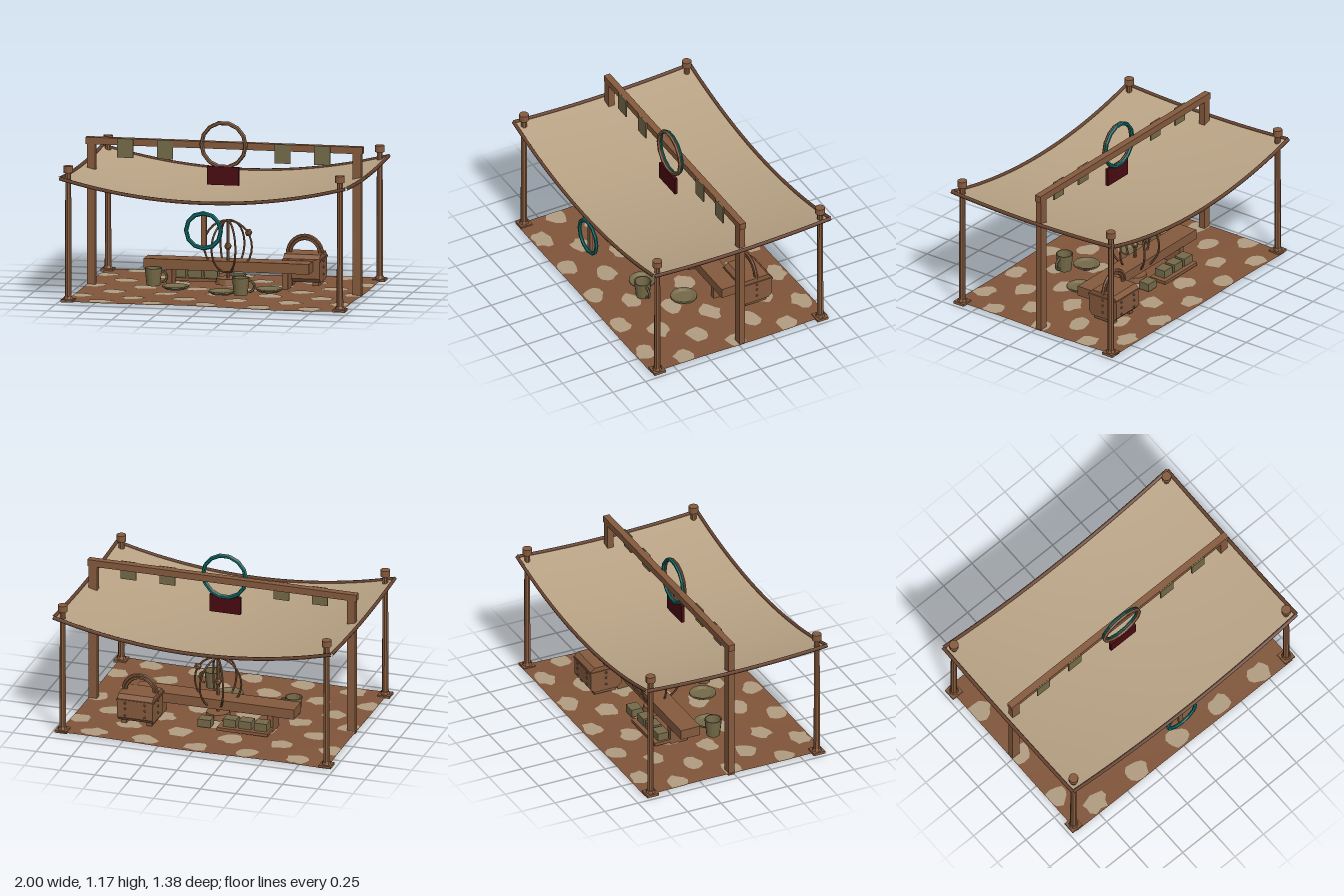
import * as THREE from 'three';
import { mergeGeometries } from 'three/addons/utils/BufferGeometryUtils.js';

const mat = (name, color, extra = {}) => {
  const m = new THREE.MeshStandardMaterial({ color, ...extra });
  m.name = name;
  return m;
};

export function createModel() {
  const wood = mat('wood', 0x855a3d, { flatShading: true });
  const rugBrown = mat('rugBrown', 0x80553a, { side: THREE.DoubleSide });
  const trimBrown = mat('trimBrown', 0x684430);
  const cloth = mat('cloth', 0xb9a385, { side: THREE.DoubleSide });
  const spotTan = mat('spotTan', 0xb09c80, { side: THREE.DoubleSide });
  const olive = mat('olive', 0x756a49, { flatShading: true });
  const teal = mat('teal', 0x0b6a68, { flatShading: true });
  const red = mat('darkRed', 0x480a10);

  const root = new THREE.Group();
  root.name = 'marketStall';

  const add = (name, geo, material, x = 0, y = 0, z = 0, parent = root) => {
    const m = new THREE.Mesh(geo, material);
    m.name = name;
    m.position.set(x, y, z);
    parent.add(m);
    return m;
  };
  const group = (name, x = 0, y = 0, z = 0) => {
    const g = new THREE.Group();
    g.name = name;
    g.position.set(x, y, z);
    root.add(g);
    return g;
  };
  const box = (w, h, d) => new THREE.BoxGeometry(w, h, d);
  const cyl = (rt, rb, h, n = 8) => new THREE.CylinderGeometry(rt, rb, h, n);

  // Small seeded generator for the blotches
  let seed = 11;
  const rand = () => (seed = (seed * 16807) % 2147483647) / 2147483647;

  // Lay a flat xz geometry over a height rule
  const drape = (geo, rule, lift = 0) => {
    const p = geo.attributes.position;
    for (let i = 0; i < p.count; i++) p.setY(i, rule(p.getX(i), p.getZ(i)) + lift);
    geo.computeVertexNormals();
    return geo;
  };

  // Sagging canopy with a rope hem
  const sag = (x, z) => 0.695 + 0.135 * x * x + 0.025 * (z / 0.685) ** 2;
  const canopy = new THREE.PlaneGeometry(1.98, 1.36, 40, 24).rotateX(-Math.PI / 2);
  add('canopy', drape(canopy, sag), cloth);
  const edge = (x0, z0, x1, z1) => {
    const pts = [];
    for (let i = 0; i <= 12; i++) {
      const x = x0 + (x1 - x0) * i / 12, z = z0 + (z1 - z0) * i / 12;
      pts.push(new THREE.Vector3(x, sag(x, z), z));
    }
    return new THREE.TubeGeometry(new THREE.CatmullRomCurve3(pts), 32, 0.013, 6);
  };
  const ex = 0.987, ez = 0.677;
  add('canopyHem', mergeGeometries([
    edge(-ex, ez, ex, ez), edge(-ex, -ez, ex, -ez), edge(-ex, -ez, -ex, ez), edge(ex, -ez, ex, ez),
  ]), trimBrown);

  // Gently rippled rug
  const ripple = (x, z) => 0.011 + 0.004 * Math.sin(x * 5 + z * 3) + 0.003 * Math.cos(z * 6 - x * 2);
  const rug = new THREE.PlaneGeometry(1.9, 1.35, 48, 36).rotateX(-Math.PI / 2);
  add('rug', drape(rug, ripple), rugBrown);

  // Staggered blotches, shown on both faces of the rug
  const spots = [];
  for (let row = 0; row < 7; row++) {
    for (let k = 0; k < 6; k++) {
      const cx = -0.9 + k * 0.36 + (row % 2 ? 0 : 0.18), cz = -0.6 + row * 0.2;
      if (cx > 0.95) continue;
      const spot = new THREE.CircleGeometry(1, 12).rotateX(-Math.PI / 2);
      const p = spot.attributes.position;
      const radii = Array.from({ length: 12 }, () => 0.8 + 0.4 * rand());
      for (let i = 0; i < p.count; i++) {
        const s = i === 0 ? 0 : radii[(i - 1) % 12];
        p.setX(i, THREE.MathUtils.clamp(cx + p.getX(i) * s * 0.083, -0.948, 0.948));
        p.setZ(i, THREE.MathUtils.clamp(cz + p.getZ(i) * s * 0.067, -0.673, 0.673));
      }
      spots.push(drape(spot.clone(), ripple, 0.003), drape(spot, ripple, -0.003));
    }
  }
  add('rugSpots', mergeGeometries(spots), spotTan);

  // Corner poles with feet and caps
  for (const x of [-0.937, 0.937]) for (const z of [-0.625, 0.625]) {
    const pole = group('cornerPole', x, 0, z);
    add('shaft', cyl(0.02, 0.023, 0.9), wood, 0, 0.465, 0, pole);
    add('cap', cyl(0.033, 0.033, 0.045, 12), wood, 0, 0.908, 0, pole);
    add('foot', box(0.085, 0.018, 0.085), wood, 0, 0.013, 0, pole);
    add('collar', cyl(0.026, 0.034, 0.02), wood, 0, 0.03, 0, pole);
  }

  // Cross frame carrying the hanging flags
  for (const x of [-0.917, 0.917]) add('framePost', box(0.058, 0.98, 0.045), wood, x, 0.49, -0.022);
  add('frameBeam', box(1.91, 0.047, 0.047), wood, 0, 0.998, -0.022);
  for (const x of [-0.68, -0.405, 0.405, 0.68])
    add('flag', box(0.11, 0.13, 0.009), olive, x, 0.957, 0.007);

  // Ring sign above, with its plaque
  const ring = (r, t) => new THREE.TorusGeometry(r, t, 6, 14);
  add('signRingFront', ring(0.152, 0.013), wood, 0, 1.005, 0.02);
  add('signRingBack', ring(0.152, 0.013), teal, 0, 1.005, 0.008);
  add('signPlaque', box(0.22, 0.125, 0.022), red, 0, 0.797, 0.028);

  // Ring hanging at the front on its bar
  add('hangingRing', new THREE.TorusGeometry(0.12, 0.015, 6, 12), teal, 0, 0.525, 0.645).scale.z = 0.8;
  add('hangingBar', box(0.034, 0.22, 0.02), wood, 0, 0.525, 0.628);

  // Low bench
  add('benchTop', box(1.14, 0.07, 0.145), wood, 0, 0.16, -0.143);
  for (const x of [-0.4, 0.4]) add('benchLeg', box(0.04, 0.13, 0.13), wood, x, 0.065, -0.155);

  // Ringed globe on a stand
  const globe = group('ringedGlobe', 0, 0.29, -0.125);
  add('base', cyl(0.08, 0.088, 0.04, 12), wood, 0, -0.235, 0, globe);
  add('axis', cyl(0.01, 0.01, 0.4), wood, 0, -0.02, 0, globe);
  for (const turn of [0, 1, -1]) {
    const hoop = add('hoop', new THREE.TorusGeometry(0.165, 0.007, 6, 28), wood, 0, 0, 0, globe);
    hoop.rotation.y = turn * Math.PI / 3;
    hoop.scale.y = 1.07;
  }
  for (const [x, y, z] of [[0, 0, 0], [0.14, 0.097, -0.01], [-0.12, -0.125, 0.01]])
    add('orb', new THREE.IcosahedronGeometry(0.027, 0), wood, x, y, z, globe);

  // Chamfered bag with lid band, studs and a double arched handle
  const bag = group('bag', 0.49, 0, -0.315);
  const [bw, b0, b1, c] = [0.115, 0.045, 0.235, 0.028];
  const side = new THREE.Shape([
    [-bw + c, b0], [bw - c, b0], [bw, b0 + c], [bw, b1 - c], [bw - c, b1], [-bw + c, b1], [-bw, b1 - c], [-bw, b0 + c],
  ].map(([x, y]) => new THREE.Vector2(x, y)));
  const body = new THREE.ExtrudeGeometry(side, { depth: 0.25, bevelEnabled: false });
  add('body', body.translate(0, 0, -0.125).rotateY(Math.PI / 2), wood, 0, 0, 0, bag);
  add('lidBand', box(0.264, 0.012, 0.238), wood, 0, 0.197, 0, bag);
  for (const x of [-0.09, 0.09]) add('foot', box(0.04, 0.03, 0.16), wood, x, 0.035, 0, bag);
  for (const y of [0.09, 0.14, 0.18]) {
    for (const s of [-1, 1]) {
      add('stud', new THREE.IcosahedronGeometry(0.009, 0), wood, s * 0.126, y, 0, bag);
      add('stud', new THREE.IcosahedronGeometry(0.009, 0), wood, 0.07 * s, y, -0.117, bag);
    }
  }
  for (const r of [0.122, 0.102]) {
    const arch = add('handle', new THREE.TorusGeometry(r, 0.011, 6, 14, Math.PI), wood, 0, 0.222, 0, bag);
    arch.scale.y = 1.05;
  }

  // Mugs: hollow tapered cups with a side handle
  const mugProfile = [[0, 0], [0.046, 0], [0.059, 0.12], [0.052, 0.12], [0.042, 0.012], [0, 0.012]]
    .map(([x, y]) => new THREE.Vector2(x, y));
  for (const [x, z] of [[-0.47, 0.077], [0.187, 0.327]]) {
    const mug = group('mug', x, 0.04, z);
    add('cup', new THREE.LatheGeometry(mugProfile, 14), olive, 0, 0, 0, mug);
    const ear = new THREE.TorusGeometry(0.038, 0.009, 6, 10, Math.PI).rotateZ(-Math.PI / 2);
    add('handle', ear, olive, 0.056, 0.062, 0, mug);
  }

  // Plates with raised rims
  const plateProfile = [[0, 0], [0.065, 0], [0.092, 0.016], [0.09, 0.024], [0.075, 0.022], [0.06, 0.012], [0, 0.012]]
    .map(([x, y]) => new THREE.Vector2(x, y));
  for (const [x, z] of [[-0.31, 0.114], [0.04, 0.25], [0.33, 0.09]])
    add('plate', new THREE.LatheGeometry(plateProfile, 16), olive, x, 0.027, z);

  // Tray of small blocks behind the bench
  add('tray', box(0.36, 0.022, 0.13), wood, -0.24, 0.037, -0.27);
  for (const x of [-0.36, -0.25, -0.14, 0.04])
    add('block', box(0.09, 0.055, 0.08), olive, x, x > 0 ? 0.05 : 0.076, -0.265);

  return root;
}
